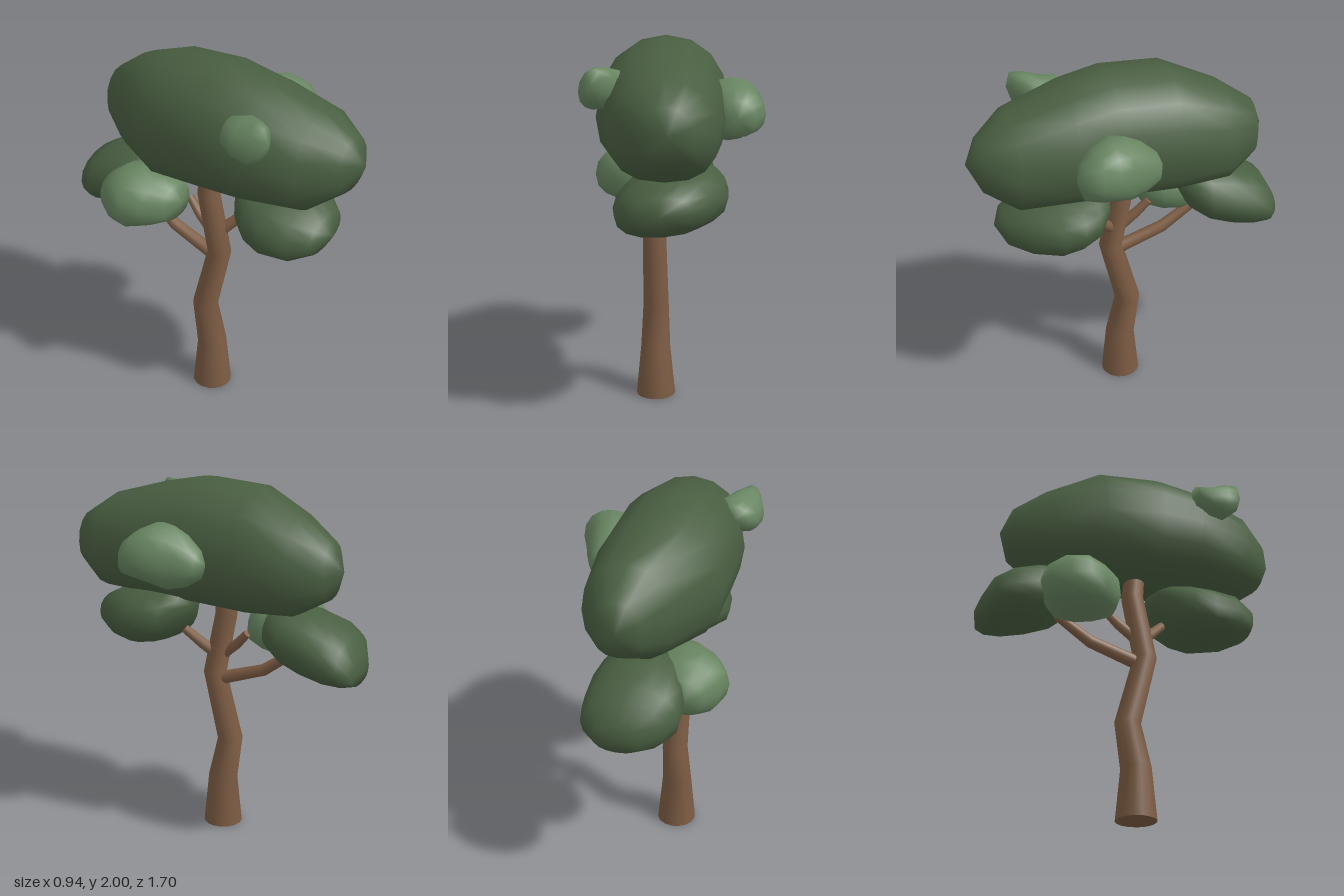
import * as THREE from 'three';

const bark = new THREE.MeshStandardMaterial({ color: 0x7f5e45 });
const darkLeaf = new THREE.MeshStandardMaterial({ color: 0x495e41 });
const lightLeaf = new THREE.MeshStandardMaterial({ color: 0x678460 });

// Bent, tapered limb through points [x, y, z, radius]
function limb(name, points, sides) {
  const geo = new THREE.CylinderGeometry(1, 1, 1, sides, points.length - 1);
  const centres = points.map(p => new THREE.Vector3(p[0], p[1], p[2]));
  const up = new THREE.Vector3(0, 1, 0);
  const turns = centres.map((c, i) => {
    const before = centres[Math.max(i - 1, 0)];
    const after = centres[Math.min(i + 1, centres.length - 1)];
    return new THREE.Quaternion().setFromUnitVectors(up, after.clone().sub(before).normalize());
  });
  const pos = geo.attributes.position, nor = geo.attributes.normal;
  const v = new THREE.Vector3();
  for (let k = 0; k < pos.count; k++) {
    const i = Math.round((pos.getY(k) + 0.5) * (points.length - 1));
    const r = points[i][3];
    v.set(pos.getX(k) * r, 0, pos.getZ(k) * r).applyQuaternion(turns[i]).add(centres[i]);
    pos.setXYZ(k, v.x, v.y, v.z);
    v.fromBufferAttribute(nor, k).applyQuaternion(turns[i]);
    nor.setXYZ(k, v.x, v.y, v.z);
  }
  const mesh = new THREE.Mesh(geo, bark);
  mesh.name = name;
  return mesh;
}

// Leaf clump lofted along z from oval sections [z, xMin, xMax, yMin, yMax], between two tip points
function clump(name, material, back, sections, front, { tilt = 0, flat = 0.9, sides = 16 } = {}) {
  const positions = [...back], index = [];
  for (const [z, x0, x1, y0, y1] of sections) {
    const cx = (x0 + x1) / 2, cy = y0 + (y1 - y0) * 0.46;
    for (let j = 0; j < sides; j++) {
      const a = (j / sides) * Math.PI * 2, c = Math.cos(a), s = Math.sin(a);
      const power = s < 0 ? flat : 0.95; // fuller underside
      const dx = Math.sign(c) * Math.abs(c) ** power * (x1 - x0) / 2;
      const dy = Math.sign(s) * Math.abs(s) ** power * (s < 0 ? cy - y0 : y1 - cy);
      positions.push(cx + dx, cy + dy + tilt * dx, z);
    }
  }
  positions.push(...front);
  const last = sections.length + 1;
  const id = (i, j) => i === 0 ? 0
    : i === last ? 1 + sections.length * sides
    : 1 + (i - 1) * sides + (j % sides);
  for (let i = 0; i < last; i++) {
    for (let j = 0; j < sides; j++) {
      if (i > 0) index.push(id(i, j), id(i, j + 1), id(i + 1, j + 1));
      if (i < last - 1) index.push(id(i, j), id(i + 1, j + 1), id(i + 1, j));
    }
  }
  const geo = new THREE.BufferGeometry();
  geo.setAttribute('position', new THREE.Float32BufferAttribute(positions, 3));
  geo.setIndex(index);
  geo.computeVertexNormals();
  const mesh = new THREE.Mesh(geo, material);
  mesh.name = name;
  return mesh;
}

export function createModel() {
  const tree = new THREE.Group();
  tree.name = 'tree';

  // Trunk and branches
  tree.add(
    limb('trunk', [
      [-0.113, 0, 0.013, 0.108], [-0.113, 0.28, 0.013, 0.081], [-0.113, 0.52, -0.031, 0.07],
      [-0.113, 0.9, 0.065, 0.064], [-0.113, 1.25, -0.005, 0.06], [-0.113, 1.42, 0.01, 0.055],
    ], 16),
    limb('backBranch', [[-0.113, 0.86, 0.05, 0.038], [-0.11, 0.96, -0.235, 0.033], [-0.1, 1.1, -0.43, 0.025]], 10),
    limb('middleBranch', [[-0.113, 1.0, 0.03, 0.032], [-0.1, 1.09, -0.08, 0.027], [-0.09, 1.16, -0.145, 0.022]], 10),
    limb('frontBranch', [[-0.113, 1.0, 0.04, 0.034], [-0.06, 1.07, 0.11, 0.03], [-0.01, 1.16, 0.2, 0.024]], 10),
  );

  // Main crown
  tree.add(clump('crown', darkLeaf, [0, 1.6, -0.73], [
    [-0.67, -0.12, 0.13, 1.45, 1.75],
    [-0.5, -0.24, 0.24, 1.35, 1.87],
    [-0.22, -0.4, 0.27, 1.32, 1.98],
    [0.1, -0.4, 0.27, 1.335, 2],
    [0.32, -0.39, 0.27, 1.35, 1.955],
    [0.62, -0.3, 0.24, 1.365, 1.87],
    [0.78, -0.14, 0.13, 1.48, 1.76],
  ], [0, 1.63, 0.85], { flat: 0.82 }));

  // Lower dark clumps
  tree.add(clump('frontClump', darkLeaf, [0.05, 1.32, 0.12], [
    [0.15, -0.09, 0.17, 1.24, 1.4],
    [0.22, -0.2, 0.25, 1.13, 1.405],
    [0.31, -0.27, 0.285, 1.085, 1.4],
    [0.42, -0.3, 0.285, 1.06, 1.385],
    [0.56, -0.28, 0.21, 1.07, 1.36],
    [0.67, -0.19, 0.11, 1.12, 1.3],
  ], [-0.05, 1.21, 0.72], { tilt: 0.1, flat: 0.85 }));
  tree.add(clump('backClump', darkLeaf, [-0.03, 1.09, -0.85], [
    [-0.825, -0.15, 0.09, 1.01, 1.16],
    [-0.77, -0.26, 0.17, 1.0, 1.26],
    [-0.68, -0.31, 0.19, 1.0, 1.315],
    [-0.55, -0.3, 0.19, 1.03, 1.36],
    [-0.43, -0.27, 0.17, 1.075, 1.375],
    [-0.34, -0.2, 0.13, 1.15, 1.36],
  ], [-0.03, 1.27, -0.28], { flat: 0.85 }));

  // Light clumps
  tree.add(clump('lowerRightClump', lightLeaf, [-0.29, 1.18, -0.56], [
    [-0.52, -0.39, -0.15, 1.08, 1.28],
    [-0.43, -0.45, -0.07, 1.03, 1.345],
    [-0.33, -0.475, -0.04, 1.03, 1.355],
    [-0.23, -0.42, -0.05, 1.055, 1.33],
    [-0.14, -0.33, -0.1, 1.09, 1.29],
  ], [-0.22, 1.2, -0.1], { flat: 0.85 }));
  tree.add(clump('leftClump', lightLeaf, [0.28, 1.62, -0.09], [
    [-0.06, 0.2, 0.35, 1.54, 1.69],
    [0.02, 0.15, 0.39, 1.49, 1.76],
    [0.1, 0.13, 0.42, 1.47, 1.8],
    [0.18, 0.13, 0.46, 1.5, 1.815],
    [0.27, 0.16, 0.47, 1.525, 1.775],
    [0.34, 0.24, 0.42, 1.535, 1.72],
  ], [0.33, 1.63, 0.37]));
  tree.add(clump('upperRightClump', lightLeaf, [-0.34, 1.8, 0.27], [
    [0.285, -0.42, -0.26, 1.74, 1.87],
    [0.36, -0.45, -0.21, 1.7, 1.88],
    [0.45, -0.46, -0.27, 1.69, 1.9],
    [0.515, -0.43, -0.33, 1.74, 1.9],
  ], [-0.385, 1.82, 0.54], { tilt: 0.12, sides: 14 }));

  return tree;
}
